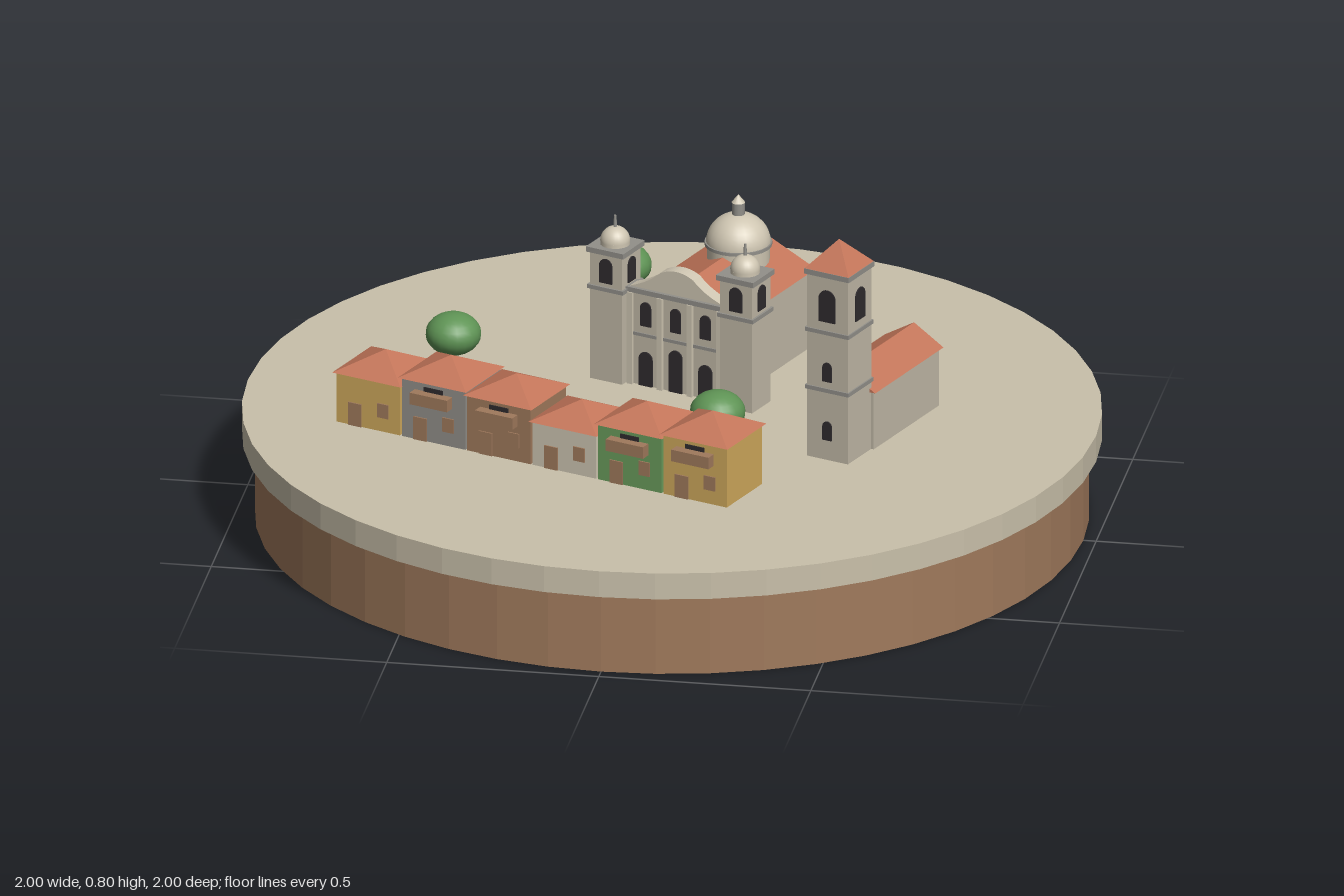
import * as THREE from 'three';

const mat = (name, color) => Object.assign(new THREE.MeshStandardMaterial({ color }), { name });
const M = {
  brown: mat('earth brown', 0xa07a5c),
  paving: mat('paving', 0xc9c0aa),
  stone: mat('stone', 0xc0b8a6),
  trim: mat('grey trim', 0x92908a),
  roof: mat('terracotta', 0xc4765a),
  yellow: mat('ochre plaster', 0xcfa95c),
  green: mat('green plaster', 0x6a9c5c),
  leaf: mat('foliage', 0x5f9455),
  cream: mat('cream', 0xcfc6b2),
  dark: mat('dark opening', 0x2f2b2e),
};
const GROUND = 0.265;
const TURN = -THREE.MathUtils.degToRad(20);

function add(parent, name, geo, material, x = 0, y = 0, z = 0) {
  const m = new THREE.Mesh(geo, material);
  m.name = name;
  m.position.set(x, y, z);
  parent.add(m);
  return m;
}

function group(parent, name, x = 0, z = 0, turn = 0) {
  const g = new THREE.Group();
  g.name = name;
  g.position.set(x, 0, z);
  g.rotation.y = turn;
  parent.add(g);
  return g;
}

// Box given by its bottom and top heights
function block(parent, name, material, w, d, y0, y1, x = 0, z = 0) {
  return add(parent, name, new THREE.BoxGeometry(w, y1 - y0, d), material, x, (y0 + y1) / 2, z);
}

function faceted(geo) {
  const g = geo.toNonIndexed();
  g.computeVertexNormals();
  return g;
}

// Square pyramid roof with its eaves at y0 and its tip at y1
function pyramid(parent, name, size, y0, y1, x = 0, z = 0) {
  const g = new THREE.ConeGeometry(size / Math.SQRT2, y1 - y0, 4);
  g.rotateY(Math.PI / 4);
  return add(parent, name, faceted(g), M.roof, x, (y0 + y1) / 2, z);
}

// Triangular prism roof with its ridge along z
function gable(parent, name, w, length, y0, y1, z = 0) {
  const s = new THREE.Shape([[-w / 2, 0], [w / 2, 0], [0, y1 - y0]].map(p => new THREE.Vector2(...p)));
  const g = new THREE.ExtrudeGeometry(s, { depth: length, bevelEnabled: false });
  return add(parent, name, g, M.roof, 0, y0, z - length / 2);
}

// Thin round-headed panel on a front wall at z, or on the left wall
function arch(parent, name, w, y0, y1, x, z, side = false) {
  const s = new THREE.Shape();
  s.moveTo(-w / 2, 0).lineTo(w / 2, 0).lineTo(w / 2, y1 - y0 - w / 2);
  s.absarc(0, y1 - y0 - w / 2, w / 2, 0, Math.PI, false);
  const g = new THREE.ExtrudeGeometry(s, { depth: 0.004, bevelEnabled: false, curveSegments: 8 });
  if (side) g.rotateY(Math.PI / 2);
  return add(parent, name, g, M.dark, x, y0, z);
}

function cylinder(parent, name, material, r0, r1, y0, y1, x = 0, z = 0, n = 16) {
  return add(parent, name, new THREE.CylinderGeometry(r1, r0, y1 - y0, n), material, x, (y0 + y1) / 2, z);
}

function dome(parent, name, r, y, x, z) {
  const g = new THREE.SphereGeometry(r, 24, 10, 0, Math.PI * 2, 0, Math.PI / 2);
  return add(parent, name, g, M.cream, x, y, z);
}

function buildBase(root) {
  add(root, 'earthDisc', faceted(new THREE.CylinderGeometry(0.97, 0.97, 0.2, 48)), M.brown, 0, 0.1, 0);
  add(root, 'plaza', faceted(new THREE.CylinderGeometry(1, 1, GROUND - 0.2, 48)), M.paving, 0, (GROUND + 0.2) / 2, 0);
}

// Row of six houses, some with a balcony
function buildHouses(root) {
  const row = group(root, 'houseRow', -0.235, 0.315, TURN);
  const houses = [
    [M.yellow, 0.39, 0.435, false], [M.trim, 0.413, 0.457, true], [M.brown, 0.405, 0.447, true],
    [M.cream, 0.375, 0.418, false], [M.green, 0.405, 0.45, true], [M.yellow, 0.415, 0.462, true],
  ];
  houses.forEach(([wall, eave, tip, balcony], i) => {
    const h = group(row, 'house' + (i + 1), (i - 2.5) * 0.175, 0);
    block(h, 'walls', wall, 0.17, 0.165, GROUND, eave);
    pyramid(h, 'roof', 0.183, eave, tip);
    block(h, 'door', M.brown, 0.035, 0.006, GROUND, 0.322, -0.035, 0.083);
    block(h, 'window', M.brown, 0.03, 0.006, 0.3, 0.335, 0.04, 0.083);
    if (balcony) {
      block(h, 'balcony', M.brown, 0.1, 0.025, eave - 0.052, eave - 0.023, 0, 0.095);
      block(h, 'balconyOpening', M.dark, 0.05, 0.004, eave - 0.03, eave - 0.012, 0, 0.083);
    }
  });
}

// Twin-towered church with a domed nave
function buildChurch(root) {
  const c = group(root, 'church', 0, -0.112, TURN);
  block(c, 'nave', M.stone, 0.272, 0.35, GROUND, 0.46, 0, -0.2);
  gable(c, 'naveRoof', 0.29, 0.365, 0.46, 0.525, -0.2);

  // Facade with pilasters, doors, windows and a curved pediment
  block(c, 'facade', M.stone, 0.27, 0.04, GROUND, 0.495);
  block(c, 'facadeCornice', M.trim, 0.27, 0.052, 0.495, 0.507);
  block(c, 'facadeBand', M.trim, 0.27, 0.046, 0.388, 0.396);
  const s = new THREE.Shape();
  s.moveTo(-0.125, 0).lineTo(0.125, 0);
  s.quadraticCurveTo(0.07, 0.02, 0.045, 0.047).quadraticCurveTo(0, 0.072, -0.045, 0.047);
  s.quadraticCurveTo(-0.07, 0.02, -0.125, 0);
  add(c, 'pediment', new THREE.ExtrudeGeometry(s, { depth: 0.034, bevelEnabled: false }), M.cream, 0, 0.507, -0.017);
  for (const x of [-0.12, -0.04, 0.04, 0.12])
    block(c, 'pilaster', M.cream, 0.014, 0.012, GROUND, 0.495, x, 0.023);
  for (const x of [-0.08, 0, 0.08]) {
    arch(c, 'portal', 0.036, GROUND, x ? 0.35 : 0.37, x, 0.02);
    arch(c, 'upperWindow', 0.028, 0.415, 0.475, x, 0.02);
  }

  // Bell towers
  for (const side of [-1, 1]) {
    const t = group(c, side < 0 ? 'rightTower' : 'leftTower', side * 0.174, 0);
    block(t, 'shaft', M.stone, 0.086, 0.086, GROUND, 0.587);
    block(t, 'band', M.trim, 0.096, 0.096, 0.492, 0.502);
    block(t, 'cornice', M.trim, 0.1, 0.1, 0.584, 0.597);
    arch(t, 'frontOpening', 0.034, 0.512, 0.573, 0, 0.042);
    arch(t, 'sideOpening', 0.034, 0.512, 0.573, 0.042, 0, true);
    cylinder(t, 'drum', M.cream, 0.035, 0.035, 0.597, 0.605);
    dome(t, 'cupola', 0.035, 0.605, 0, 0);
    cylinder(t, 'finial', M.trim, 0.005, 0.003, 0.635, 0.668, 0, 0, 8);
  }

  // Main dome
  cylinder(c, 'domeDrum', M.cream, 0.073, 0.073, 0.45, 0.538, 0, -0.272, 24);
  cylinder(c, 'domeRing', M.trim, 0.079, 0.079, 0.533, 0.541, 0, -0.272, 24);
  dome(c, 'mainDome', 0.076, 0.538, 0, -0.272).scale.y = 0.95;
  cylinder(c, 'lantern', M.trim, 0.015, 0.015, 0.605, 0.638, 0, -0.272, 12);
  add(c, 'lanternCap', new THREE.ConeGeometry(0.016, 0.02, 12), M.cream, 0, 0.648, -0.272);
}

// Tall bell tower with its chapel
function buildBellTower(root) {
  const ch = group(root, 'chapel', 0.49, 0, TURN);
  block(ch, 'walls', M.stone, 0.142, 0.305, GROUND, 0.41);
  gable(ch, 'roof', 0.158, 0.32, 0.41, 0.457);

  const t = group(root, 'bellTower', 0.428, 0.197, TURN);
  block(t, 'shaft', M.stone, 0.11, 0.11, GROUND, 0.728);
  for (const y of [0.435, 0.58]) block(t, 'band', M.trim, 0.117, 0.117, y, y + 0.01);
  block(t, 'cornice', M.trim, 0.12, 0.12, 0.724, 0.737);
  pyramid(t, 'roof', 0.118, 0.737, 0.802);
  for (const [w, y0, y1] of [[0.044, 0.612, 0.692], [0.024, 0.462, 0.51], [0.024, 0.315, 0.362]]) {
    arch(t, 'frontOpening', w, y0, y1, 0, 0.054);
    if (y0 > 0.6) arch(t, 'sideOpening', w, y0, y1, 0.054, 0, true);
  }
}

function buildTrees(root) {
  for (const [x, z] of [[-0.21, -0.56], [-0.53, -0.085], [0.155, 0.275]]) {
    const t = group(root, 'tree', x, z);
    cylinder(t, 'trunk', M.brown, 0.009, 0.007, GROUND, 0.35, 0, 0, 8);
    add(t, 'crown', new THREE.SphereGeometry(0.065, 20, 14), M.leaf, 0, 0.38, 0).scale.y = 0.77;
  }
}

export function createModel() {
  const root = new THREE.Group();
  root.name = 'townSquare';
  buildBase(root);
  buildHouses(root);
  buildChurch(root);
  buildBellTower(root);
  buildTrees(root);
  return root;
}
